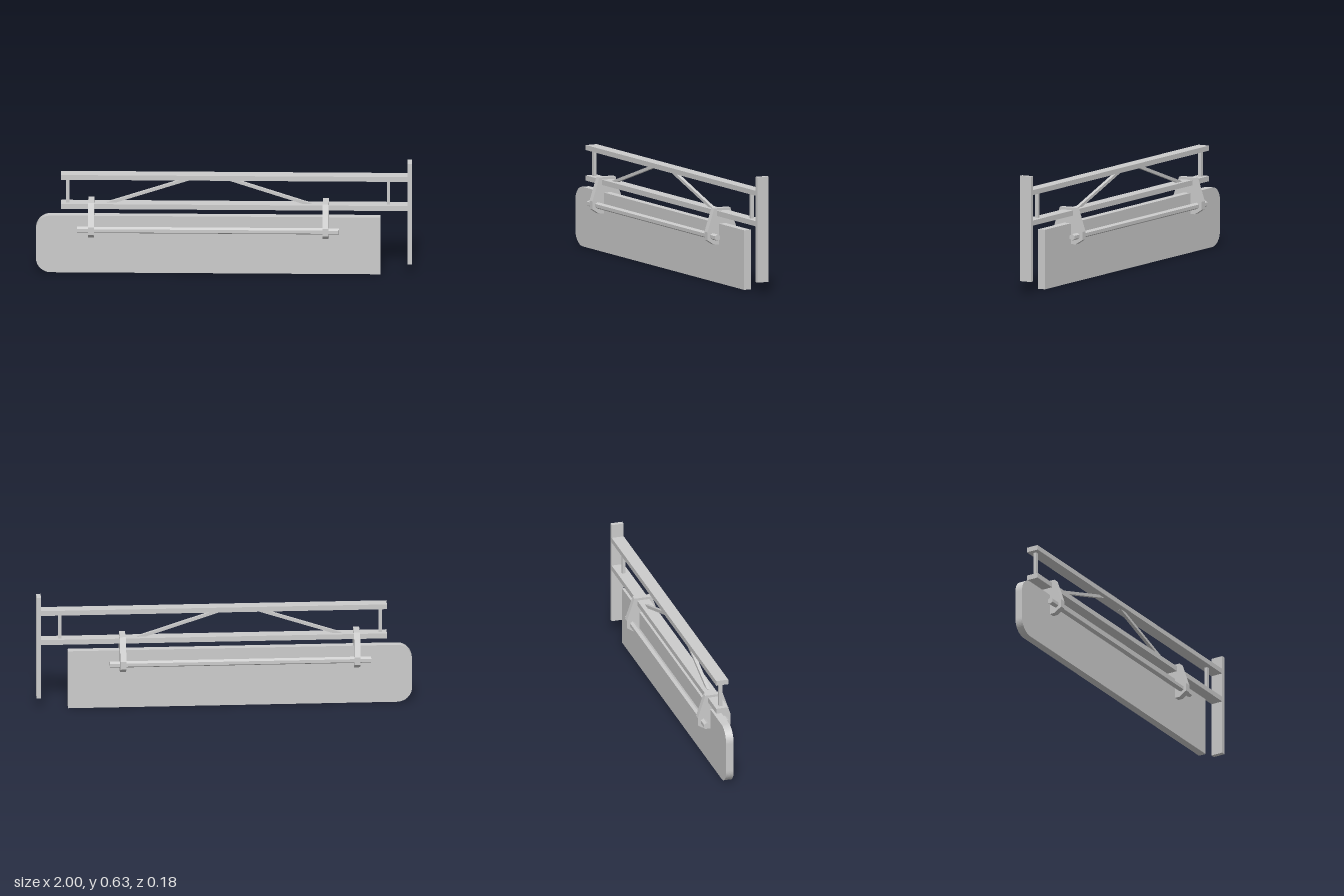
import * as THREE from 'three';

const material = new THREE.MeshStandardMaterial({ color: 0xcccccc, flatShading: true });

export function createModel() {
  const model = new THREE.Group();
  model.name = 'hangingSign';

  const add = (name, geometry, x = 0, y = 0, z = 0) => {
    const mesh = new THREE.Mesh(geometry, material);
    mesh.name = name;
    mesh.position.set(x, y, z);
    model.add(mesh);
    return mesh;
  };
  // Box given by its extents in x and y, centred on z = 0
  const slab = (name, x0, x1, y0, y1, depth) =>
    add(name, new THREE.BoxGeometry(x1 - x0, y1 - y0, depth), (x0 + x1) / 2, (y0 + y1) / 2);
  // Flat outline extruded about z = 0
  const plate = (shape, depth) =>
    new THREE.ExtrudeGeometry(shape, { depth, bevelEnabled: false, curveSegments: 8 })
      .translate(0, 0, -depth / 2);

  // Wall post and the two horizontal rails
  slab('wallPost', 0.974, 0.998, 0.062, 0.628, 0.067);
  slab('topRail', -0.866, 0.975, 0.526, 0.553, 0.067);
  slab('bottomRail', -0.866, 0.975, 0.362, 0.39, 0.067);

  // Upright struts between the rails
  for (const x of [-0.831, 0.873]) slab('uprightStrut', x - 0.009, x + 0.009, 0.38, 0.535, 0.018);

  // Diagonal braces, mirrored about the middle of the truss
  const middle = -0.08;
  for (const side of [-1, 1]) {
    const low = new THREE.Vector2(middle + side * 0.523, 0.39);
    const high = new THREE.Vector2(middle + side * 0.107, 0.526);
    const run = high.clone().sub(low);
    const brace = add('diagonalBrace', new THREE.BoxGeometry(run.length() + 0.04, 0.016, 0.018),
      (low.x + high.x) / 2, (low.y + high.y) / 2);
    brace.rotation.z = Math.atan2(run.y, run.x);
  }

  // Sign board with rounded corners at the free end
  const r = 0.08, h = 0.32;
  const board = new THREE.Shape();
  board.moveTo(0.83, 0);
  board.lineTo(0.83, h);
  board.lineTo(-1 + r, h);
  board.absarc(-1 + r, h - r, r, Math.PI / 2, Math.PI, false);
  board.lineTo(-1, r);
  board.absarc(-1 + r, r, r, Math.PI, Math.PI * 1.5, false);
  board.closePath();
  add('signBoard', plate(board, 0.042));

  // Brackets wrapping the bottom rail and the board
  const half = [[0.049, 0.208], [0.091, 0.235], [0.091, 0.278], [0.049, 0.403]];
  const outline = [...half, ...half.map(([z, y]) => [-z, y]).reverse()];
  const bracket = plate(new THREE.Shape(outline.map(([z, y]) => new THREE.Vector2(z, y))), 0.032)
    .rotateY(Math.PI / 2);
  for (const x of [-0.706, 0.54]) add('bracket', bracket, x);

  // Hexagonal light bars on both sides of the board
  const bar = new THREE.CylinderGeometry(0.0175, 0.0175, 1.39, 6).rotateZ(Math.PI / 2);
  // Turn the section so a corner points straight up
  bar.rotateX(Math.PI / 6);
  for (const z of [-0.059, 0.059]) add('lightBar', bar, -0.085, 0.254, z);

  return model;
}
